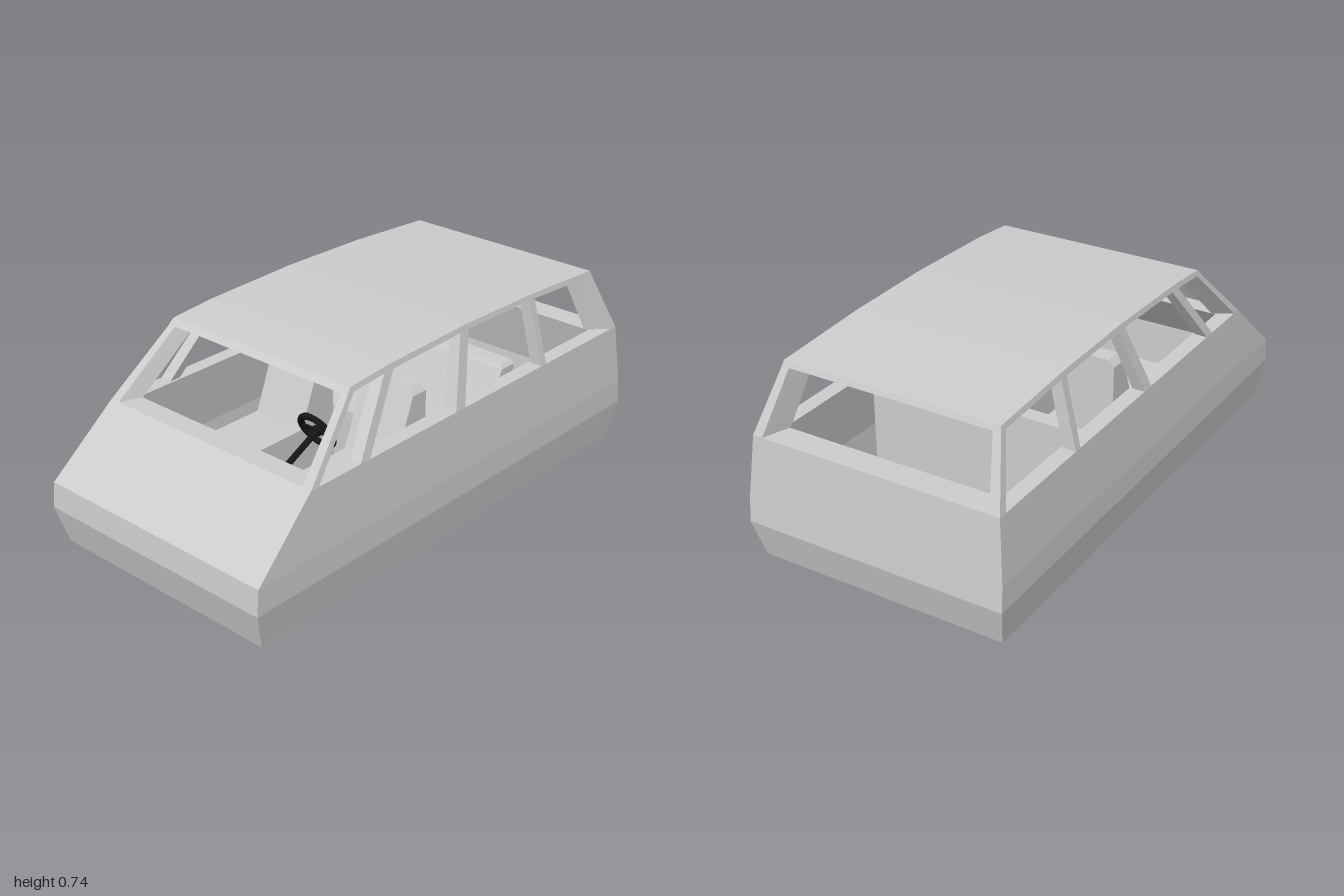
import * as THREE from 'three';

const grey = new THREE.MeshStandardMaterial({ color: 0xcccccc, flatShading: true });
const black = new THREE.MeshStandardMaterial({ color: 0x151515, flatShading: true });

// Skin a list of equal-sized rings (counter-clockwise seen from the last ring) and cap both ends.
function loft(name, rings, material = grey) {
  const out = [];
  const tri = (a, b, c) => out.push(...a, ...b, ...c);
  const n = rings[0].length;
  for (let r = 0; r + 1 < rings.length; r++) {
    for (let i = 0; i < n; i++) {
      const j = (i + 1) % n, lo = rings[r], hi = rings[r + 1];
      tri(lo[i], lo[j], hi[j]);
      tri(lo[i], hi[j], hi[i]);
    }
  }
  const first = rings[0], last = rings[rings.length - 1];
  for (let i = 1; i + 1 < n; i++) {
    tri(first[0], first[i + 1], first[i]);
    tri(last[0], last[i], last[i + 1]);
  }
  const geo = new THREE.BufferGeometry();
  geo.setAttribute('position', new THREE.Float32BufferAttribute(out, 3));
  geo.computeVertexNormals();
  const mesh = new THREE.Mesh(geo, material);
  mesh.name = name;
  return mesh;
}

// Horizontal rectangle ring: half width, height, front z, back z, centre x
const rect = (w, y, zf, zb, cx = 0) => [[cx + w, y, zf], [cx + w, y, zb], [cx - w, y, zb], [cx - w, y, zf]];

// Horizontal ring from [x, z] pairs
const flat = (y, pts) => pts.map(([x, z]) => [x, y, z]);

const mirrored = (rings) => rings.map((ring) => ring.map(([x, y, z]) => [-x, y, z]).reverse());

// Seat with a block cushion and a back that slopes in front and is chamfered on top
function seat(name, cx, w, zBack, top, depth, chamfer) {
  const g = new THREE.Group();
  g.name = name;
  g.add(
    loft('cushion', [rect(w, 0.05, zBack + depth, zBack, cx), rect(w, 0.26, zBack + depth, zBack, cx)]),
    loft('backrest', [
      rect(w, 0.25, zBack + 0.17, zBack, cx),
      rect(w, top - chamfer, zBack + 0.07, zBack, cx),
      rect(w - chamfer, top, zBack + 0.06, zBack, cx),
    ]),
  );
  return g;
}

export function createModel() {
  const model = new THREE.Group();
  model.name = 'vanBody';
  const belt = 0.47;

  // Lower body: outer skin up to the belt line, over the sill, and down the inside to the floor
  model.add(loft('lowerBody', [
    rect(0.475, 0, 0.96, -0.96),
    rect(0.5, 0.145, 1, -1),
    rect(0.498, 0.24, 0.99, -0.992),
    rect(0.478, belt, 0.73, -0.97),
    rect(0.42, belt, 0.65, -0.87),
    rect(0.45, 0.23, 0.91, -0.94),
    rect(0.44, 0.05, 0.91, -0.93),
  ]));

  // Corner and side pillars, built on the left and mirrored
  const pillars = {
    FrontPillar: [
      flat(belt, [[0.478, 0.73], [0.478, 0.695], [0.405, 0.65], [0.44, 0.73]]),
      flat(0.71, [[0.416, 0.482], [0.416, 0.455], [0.355, 0.41], [0.387, 0.482]]),
    ],
    RearPillar: [
      flat(belt, [[0.478, -0.935], [0.478, -0.97], [0.44, -0.97], [0.405, -0.865]]),
      flat(0.71, [[0.416, -0.835], [0.416, -0.861], [0.387, -0.861], [0.355, -0.77]]),
    ],
  };
  // Side pillars: front and back z at the belt, then at the roof
  [[0.5, 0.455, 0.31, 0.265], [0.01, -0.04, -0.08, -0.125], [-0.485, -0.515, -0.475, -0.508]]
    .forEach(([f0, b0, f1, b1], i) => {
      pillars['SidePillar' + (i + 1)] = [
        flat(belt, [[0.478, f0], [0.478, b0], [0.43, b0], [0.43, f0]]),
        flat(0.718, [[0.415, f1], [0.415, b1], [0.37, b1], [0.37, f1]]),
      ];
    });
  for (const [name, rings] of Object.entries(pillars)) {
    model.add(loft('left' + name, rings), loft('right' + name, mirrored(rings)));
  }

  // Roof: gently arched slab with thin outer rails and a narrower ceiling
  // Each section: top z, top height, rail z, ceiling z
  const sections = [
    [-0.86, 0.715, -0.868, -0.77],
    [-0.48, 0.736, -0.48, -0.48],
    [-0.1, 0.742, -0.1, -0.1],
    [0.3, 0.731, 0.3, 0.3],
    [0.48, 0.716, 0.5, 0.41],
  ];
  model.add(loft('roof', sections.map(([z, y, zRail, zIn]) => [
    [-0.42, y - 0.02, zRail], [-0.355, y - 0.055, zIn], [0.355, y - 0.055, zIn],
    [0.42, y - 0.02, zRail], [0.415, y, z], [-0.415, y, z],
  ])));

  // Seats
  model.add(
    seat('leftFrontSeat', 0.22, 0.115, 0, 0.53, 0.42, 0.025),
    seat('rightFrontSeat', -0.22, 0.115, 0, 0.53, 0.42, 0.025),
    seat('rearBench', 0, 0.39, -0.435, 0.487, 0.38, 0.015),
  );

  // Steering wheel with spokes and column, tilted towards the driver
  const steering = new THREE.Group();
  steering.name = 'steeringWheel';
  steering.position.set(0.225, 0.477, 0.435);
  steering.rotation.x = 0.46;
  const part = (name, geo) => {
    const mesh = new THREE.Mesh(geo, black);
    mesh.name = name;
    steering.add(mesh);
    return mesh;
  };
  part('rim', new THREE.TorusGeometry(0.068, 0.012, 8, 24));
  part('spokes', new THREE.BoxGeometry(0.13, 0.018, 0.008));
  part('hub', new THREE.CylinderGeometry(0.02, 0.02, 0.016, 12)).rotation.x = Math.PI / 2;
  const column = part('column', new THREE.CylinderGeometry(0.011, 0.011, 0.38, 8));
  column.rotation.x = Math.PI / 2;
  column.position.z = 0.19;
  model.add(steering);

  return model;
}
